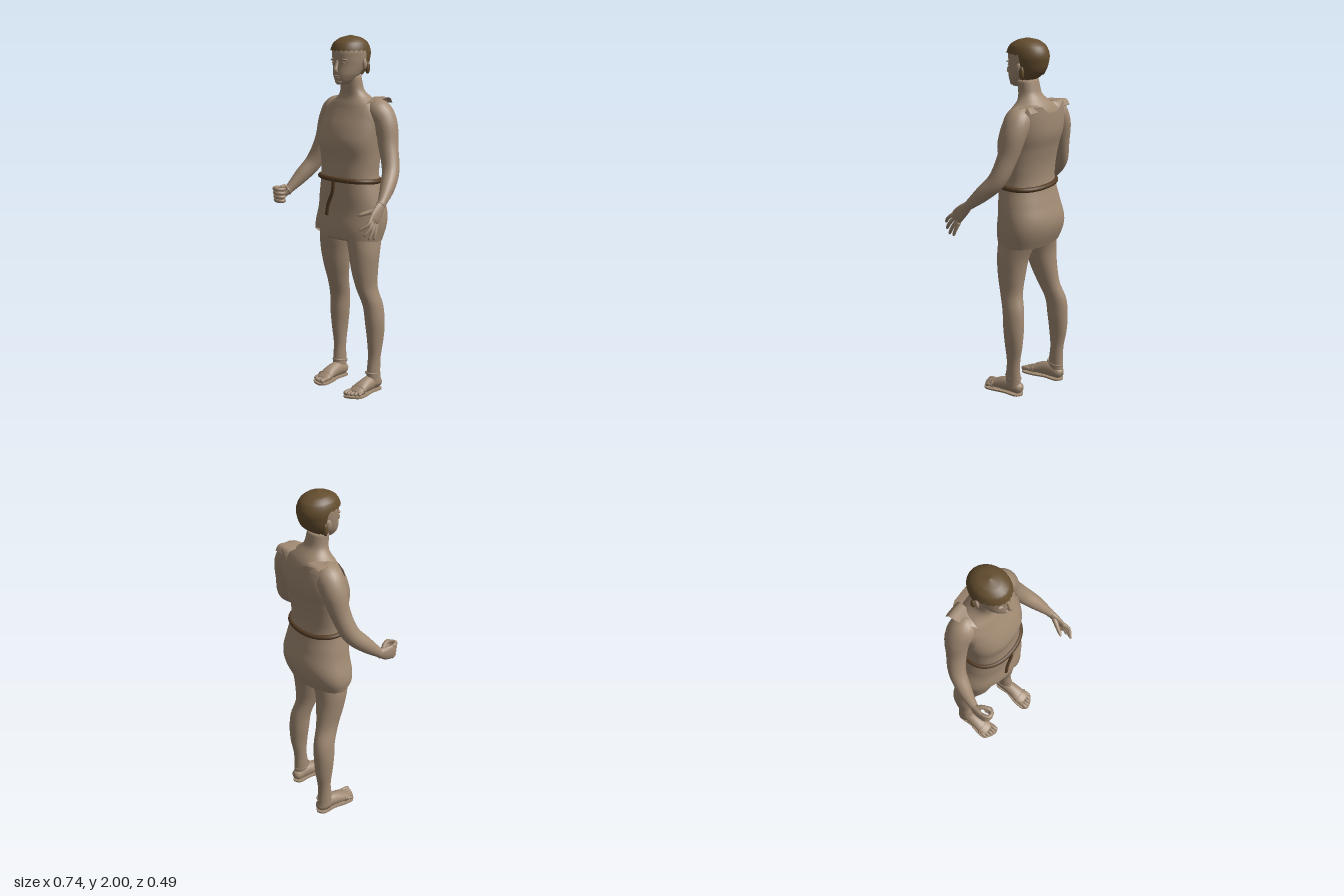
import * as THREE from 'three';

const { smoothstep, lerp } = THREE.MathUtils;
const V = (x, y, z) => new THREE.Vector3(x, y, z);
const skin = new THREE.MeshStandardMaterial({ color: 0xa18a73, side: THREE.DoubleSide });
const hairBrown = new THREE.MeshStandardMaterial({ color: 0x644d2e, side: THREE.DoubleSide });
const beltBrown = new THREE.MeshStandardMaterial({ color: 0x553d25 });
skin.name = 'skinAndCloth';
hairBrown.name = 'hairBrown';
beltBrown.name = 'beltBrown';

function mesh(name, geometry, material = skin) {
  const m = new THREE.Mesh(geometry, material);
  m.name = name;
  return m;
}

// Joins rings of points into a smooth skin; caps close the two ends
function skinRings(rings, caps) {
  const n = rings[0].length, pos = [], idx = [];
  rings.forEach(r => r.forEach(p => pos.push(p.x, p.y, p.z)));
  for (let i = 0; i < rings.length - 1; i++) for (let j = 0; j < n; j++) {
    const a = i * n + j, b = i * n + (j + 1) % n;
    idx.push(a, b, a + n, b, b + n, a + n);
  }
  if (caps) [0, rings.length - 1].forEach(i => {
    const c = rings[i].reduce((s, p) => s.add(p), V(0, 0, 0)).divideScalar(n);
    const k = pos.length / 3;
    pos.push(c.x, c.y, c.z);
    for (let j = 0; j < n; j++) {
      const a = i * n + j, b = i * n + (j + 1) % n;
      i === 0 ? idx.push(k, b, a) : idx.push(k, a, b);
    }
  });
  const g = new THREE.BufferGeometry();
  g.setAttribute('position', new THREE.Float32BufferAttribute(pos, 3));
  g.setIndex(idx);
  g.computeVertexNormals();
  return g;
}

// Rows are [y, centreX, halfWidth, zFront, zBack]; returns a point at height y and angle a
function profile(rows, p = 1) {
  const A = new THREE.CatmullRomCurve3(rows.map(r => V(r[1], r[2], 0)), false, 'catmullrom');
  const B = new THREE.CatmullRomCurve3(rows.map(r => V(r[3], r[4], 0)), false, 'catmullrom');
  const pw = v => Math.sign(v) * Math.abs(v) ** p;
  return (y, a, grow = 0) => {
    let i = 0;
    while (i < rows.length - 2 && y > rows[i + 1][0]) i++;
    const f = Math.min(1, Math.max(0, (y - rows[i][0]) / (rows[i + 1][0] - rows[i][0])));
    const s = A.getPoint((i + f) / (rows.length - 1)), d = B.getPoint((i + f) / (rows.length - 1));
    return V(s.x + (s.y + grow) * pw(Math.sin(a)), y,
      (d.x + d.y) / 2 + ((d.x - d.y) / 2 + grow) * pw(Math.cos(a)));
  };
}

// Upright shell between two heights, which may change with the angle
function shell(at, bottom, top, { n = 40, m = 40, caps = true, dome = false, grow = 0, warp } = {}) {
  const rings = [];
  for (let i = 0; i <= m; i++) {
    const t = dome ? Math.sin(i / m * Math.PI / 2) : i / m, ring = [];
    for (let j = 0; j < n; j++) {
      const a = j / n * Math.PI * 2;
      const v = at(lerp(bottom(a), top(a), t), a, grow);
      if (warp) warp(v, a);
      ring.push(v);
    }
    rings.push(ring);
  }
  return skinRings(rings, caps);
}

// Limb along a path of [x, y, z, sideRadius, otherRadius]
function limb(pts, { n = 14, m = 24, ref = V(1, 0, 0) } = {}) {
  const path = new THREE.CatmullRomCurve3(pts.map(p => V(p[0], p[1], p[2])), false, 'catmullrom');
  const rad = new THREE.CatmullRomCurve3(pts.map(p => V(p[3], p[4] ?? p[3], 0)), false, 'catmullrom');
  const rings = [];
  for (let i = 0; i <= m; i++) {
    const c = path.getPoint(i / m), t = path.getTangent(i / m), r = rad.getPoint(i / m);
    const u = ref.clone().cross(t).normalize(), v = t.clone().cross(u);
    rings.push(Array.from({ length: n }, (_, j) => {
      const a = j / n * Math.PI * 2;
      return c.clone().addScaledVector(u, r.y * Math.cos(a)).addScaledVector(v, r.x * Math.sin(a));
    }));
  }
  return skinRings(rings, true);
}

function blob(name, x, y, z, rx, ry, rz, material) {
  const m = mesh(name, new THREE.SphereGeometry(1, 16, 12), material);
  m.position.set(x, y, z);
  m.scale.set(rx, ry, rz);
  return m;
}

export function createModel() {
  const model = new THREE.Group();
  model.name = 'figure';
  const add = (...parts) => model.add(...parts);

  // Torso and neck
  const hips = [[0.86, 0, 0.18, 0.04, -0.185], [0.95, 0, 0.197, 0.05, -0.222], [1.02, 0, 0.198, 0.052, -0.23],
    [1.1, 0, 0.187, 0.056, -0.21], [1.22, 0, 0.164, 0.058, -0.183], [1.32, 0, 0.168, 0.054, -0.185],
    [1.42, 0, 0.178, 0.066, -0.205]];
  const torso = profile([...hips, [1.5, 0, 0.185, 0.045, -0.215], [1.58, 0, 0.185, 0.008, -0.21],
    [1.63, 0, 0.152, -0.012, -0.195], [1.665, 0, 0.098, -0.026, -0.17], [1.7, 0, 0.069, -0.024, -0.138],
    [1.78, 0, 0.06, -0.012, -0.118]], 0.9);
  add(mesh('torso', shell(torso, () => 0.875, () => 1.78, { m: 60 })));

  // Tunic: open shell with slanting hem, low armholes and a raised back
  const tunic = profile([...hips, [1.5, 0, 0.185, 0.046, -0.228], [1.58, 0, 0.182, 0.012, -0.232],
    [1.67, 0, 0.165, -0.01, -0.228]], 0.9);
  const hem = a => 0.87 + Math.max(0, Math.cos(a)) * (0.045 - 0.035 * Math.sin(a));
  const neckline = a => {
    const c = Math.cos(a);
    return c > 0 ? lerp(1.46, 1.565, smoothstep(c, 0.1, 0.7)) + 0.006 * Math.sign(Math.sin(a * 17))
      : lerp(1.46, 1.66, smoothstep(-c, 0.1, 0.5)) - 0.04 * smoothstep(-c, 0.88, 1);
  };
  add(mesh('tunic', shell(tunic, hem, neckline, {
    n: 96, m: 50, caps: false, grow: 0.01,
    warp: (v, a) => {
      const low = 1 - smoothstep(v.y, 0.9, 1.08);
      v.x -= 0.035 * low * Math.max(0, -Math.sin(a)) ** 2;
      v.z += 0.02 * low * Math.max(0, Math.cos(a));
    },
  })));

  // Belt with a hanging end
  const beltPath = Array.from({ length: 32 }, (_, i) => {
    const p = tunic(1.22, i / 16 * Math.PI, 0.014);
    return p.setY(1.216 - p.x * 0.03 + p.z * 0.05);
  });
  add(mesh('belt', new THREE.TubeGeometry(new THREE.CatmullRomCurve3(beltPath, true), 96, 0.014, 10, true), beltBrown));
  add(mesh('beltEnd', limb([[0, 1.22, 0.075, 0.011], [-0.008, 1.15, 0.077, 0.011, 0.008],
    [-0.038, 1.08, 0.077, 0.011, 0.008], [-0.05, 1.015, 0.079, 0.011, 0.008]]), beltBrown));

  // Head and face
  const head = profile([[1.735, 0, 0.024, 0.03, -0.04], [1.755, 0, 0.046, 0.046, -0.08], [1.79, 0, 0.067, 0.05, -0.115],
    [1.84, 0, 0.082, 0.046, -0.155], [1.88, 0, 0.088, 0.048, -0.172], [1.92, 0, 0.088, 0.046, -0.17],
    [1.96, 0, 0.068, 0.015, -0.15], [1.985, 0, 0.03, -0.03, -0.11]]);
  add(mesh('head', shell(head, () => 1.735, () => 1.985)));
  add(mesh('nose', limb([[0, 1.866, 0.042, 0.008], [0, 1.835, 0.054, 0.01], [0, 1.813, 0.062, 0.014, 0.012],
    [0, 1.803, 0.05, 0.01]])));
  add(blob('upperLip', 0, 1.782, 0.047, 0.022, 0.005, 0.007), blob('lowerLip', 0, 1.773, 0.045, 0.019, 0.006, 0.008),
    blob('chin', 0, 1.75, 0.034, 0.022, 0.015, 0.014));
  for (const s of [-1, 1]) {
    add(blob('eye', s * 0.033, 1.852, 0.033, 0.013, 0.006, 0.008), blob('brow', s * 0.035, 1.869, 0.031, 0.024, 0.007, 0.011));
    const ear = blob('ear', s * 0.094, 1.845, -0.075, 0.011, 0.03, 0.018);
    ear.rotation.y = s * 0.4;
    add(ear, blob('hairLock', s * 0.096, 1.825, -0.096, 0.013, 0.034, 0.015, hairBrown));
  }

  // Bowl-shaped hair: short fringe, longer behind the ears
  const hair = profile([[1.77, 0, 0.07, 0, -0.1], [1.82, 0, 0.09, 0.04, -0.162], [1.88, 0, 0.1, 0.055, -0.185],
    [1.92, 0, 0.1, 0.056, -0.187], [1.96, 0, 0.086, 0.036, -0.168], [1.985, 0, 0.056, -0.005, -0.13],
    [2, 0, 0.0005, -0.065, -0.066]]);
  const hairline = a => 1.918 - 0.135 * smoothstep(-Math.cos(a), 0.05, 0.4) + 0.004 * Math.sin(a * 24);
  add(mesh('hair', shell(hair, hairline, () => 2, { n: 96, caps: false, dome: true }), hairBrown));

  for (const s of [-1, 1]) {
    const side = s > 0 ? 'left' : 'right';

    // Legs: the right one stands further back
    const back = s > 0 ? 0 : -0.07;
    const legRows = [[0.03, 0.158, 0.035, -0.045, -0.135], [0.1, 0.158, 0.034, -0.04, -0.13], [0.2, 0.16, 0.034, -0.05, -0.13],
      [0.3, 0.163, 0.042, -0.04, -0.147], [0.4, 0.161, 0.052, -0.03, -0.153], [0.5, 0.153, 0.052, -0.018, -0.148],
      [0.6, 0.133, 0.053, 0.015, -0.125], [0.7, 0.122, 0.069, 0.034, -0.13], [0.8, 0.114, 0.083, 0.04, -0.145],
      [0.9, 0.1, 0.09, 0.042, -0.18], [0.97, 0.1, 0.088, 0.03, -0.19]].map(([y, x, w, f, b]) => {
      const dz = back * Math.min(1, Math.max(0, (0.9 - y) / 0.35));
      return [y, s * x, w, f + dz, b + dz];
    });
    add(mesh(side + 'Leg', shell(profile(legRows), () => 0.03, () => 0.97, { n: 28, m: 50 })));

    // Foot, toes and sandal
    const foot = new THREE.Group();
    foot.name = side + 'Foot';
    foot.position.set(s * 0.153, 0, s > 0 ? 0 : -0.06);
    foot.add(mesh('instep', limb([[0, 0.035, -0.143, 0.015, 0.015], [0, 0.04, -0.125, 0.032, 0.032],
      [0, 0.05, -0.07, 0.036, 0.043], [0, 0.044, -0.01, 0.04, 0.037], [-s * 0.003, 0.031, 0.045, 0.046, 0.023],
      [-s * 0.003, 0.023, 0.08, 0.042, 0.012]], { n: 20 })));
    for (let i = 0; i < 5; i++) {
      const x = s * (-0.036 + i * 0.019), r = i ? 0.009 : 0.013, z = 0.117 - i * i * 0.002;
      foot.add(mesh('toe', limb([[x, 0.026, 0.05, r], [x, 0.026, z - 0.02, r], [x, 0.02, z - 0.004, r], [x, 0.017, z, r * 0.4]],
        { n: 10, m: 10 })));
    }
    const outline = new THREE.Shape(new THREE.SplineCurve([[0, -0.145], [0.035, -0.12], [0.036, -0.04], [0.052, 0.04], [0.045, 0.09],
      [-0.02, 0.124], [-0.055, 0.1], [-0.052, 0.03], [-0.034, -0.04], [-0.034, -0.12], [0, -0.145]]
      .map(([x, z]) => new THREE.Vector2(s * x, -z))).getPoints(50));
    const sole = mesh('sole', new THREE.ExtrudeGeometry(outline, { depth: 0.009, bevelEnabled: false }));
    sole.rotation.x = -Math.PI / 2;
    foot.add(sole);
    const strap = (w, h, y, z, tilt) => {
      const t = mesh('strap', new THREE.TorusGeometry(1, 0.08, 8, 28));
      t.position.set(0, y, z);
      t.scale.set(w, h, 0.07);
      t.rotation.x = tilt;
      foot.add(t);
    };
    strap(0.047, 0.026, 0.031, 0.04, 0);
    strap(0.037, 0.047, 0.1, -0.083 + (s > 0 ? 0 : -0.01), Math.PI / 2 - 0.2);
    model.add(foot);

    // Arms, and the tunic cloth lying over the shoulders
    add(mesh(side + 'Arm', limb([[s * 0.09, 1.6, -0.115, 0.045], [s * 0.15, 1.588, -0.12, 0.07, 0.075],
      [s * 0.2, 1.52, -0.125, 0.066, 0.07], [s * 0.235, 1.4, -0.11, 0.054, 0.056], [s * 0.28, 1.28, -0.075, 0.047, 0.05],
      [s * 0.315, 1.2, -0.005, 0.04, 0.043], [s * 0.34, 1.13, 0.07, 0.024, 0.027], [s * 0.343, 1.115, 0.088, 0.022, 0.028]],
    { n: 24, m: 48 })));
    add(mesh('shoulderCloth', limb([[s * 0.1, 1.628, -0.045, 0.022, 0.003], [s * 0.12, 1.648, -0.09, 0.03, 0.003],
      [s * 0.125, 1.656, -0.15, 0.045, 0.003], [s * 0.125, 1.658, -0.195, 0.05, 0.003],
      [s * 0.125, 1.63, -0.218, 0.05, 0.003]])));
  }

  // Open left hand
  add(mesh('leftPalm', limb([[0.341, 1.125, 0.075, 0.02, 0.026], [0.348, 1.09, 0.112, 0.018, 0.036],
    [0.352, 1.05, 0.15, 0.014, 0.038], [0.352, 1.035, 0.163, 0.008, 0.028]], { n: 18 })));
  for (const [y, z, tx, ty, tz] of [[1.067, 0.17, 0.335, 1.0, 0.242], [1.05, 0.16, 0.348, 0.97, 0.226],
    [1.034, 0.147, 0.357, 0.948, 0.2], [1.022, 0.132, 0.362, 0.945, 0.168]])
    add(mesh('leftFinger', limb([[0.351, y, z, 0.011], [0.36, (y + ty) / 2, (z + tz) / 2, 0.01], [tx, ty + 0.006, tz - 0.005, 0.008],
      [tx - 0.001, ty, tz, 0.003]], { n: 10, m: 12 })));
  add(mesh('leftThumb', limb([[0.342, 1.1, 0.11, 0.016], [0.318, 1.085, 0.15, 0.013], [0.295, 1.075, 0.188, 0.01],
    [0.283, 1.07, 0.203, 0.004]], { n: 10 })));

  // Closed right hand
  add(mesh('rightPalm', limb([[-0.342, 1.125, 0.075, 0.021, 0.026], [-0.355, 1.115, 0.11, 0.018, 0.038],
    [-0.36, 1.11, 0.15, 0.014, 0.042], [-0.357, 1.108, 0.172, 0.008, 0.038]], { n: 18 })));
  for (let i = 0; i < 4; i++) {
    const y = 1.143 - i * 0.022, k = i * 0.003;
    add(mesh('rightFinger', limb([[-0.36, y, 0.15, 0.011], [-0.35, y, 0.183 - k, 0.012], [-0.325, y - 0.003, 0.188 - k, 0.012],
      [-0.306, y - 0.005, 0.166, 0.011], [-0.312, y - 0.005, 0.142, 0.009], [-0.32, y - 0.005, 0.138, 0.004]],
    { n: 10, ref: V(0, 1, 0) })));
  }
  add(mesh('rightThumb', limb([[-0.345, 1.135, 0.1, 0.016], [-0.325, 1.15, 0.13, 0.013], [-0.315, 1.152, 0.16, 0.011],
    [-0.318, 1.15, 0.176, 0.004]], { n: 10 })));

  return model;
}
